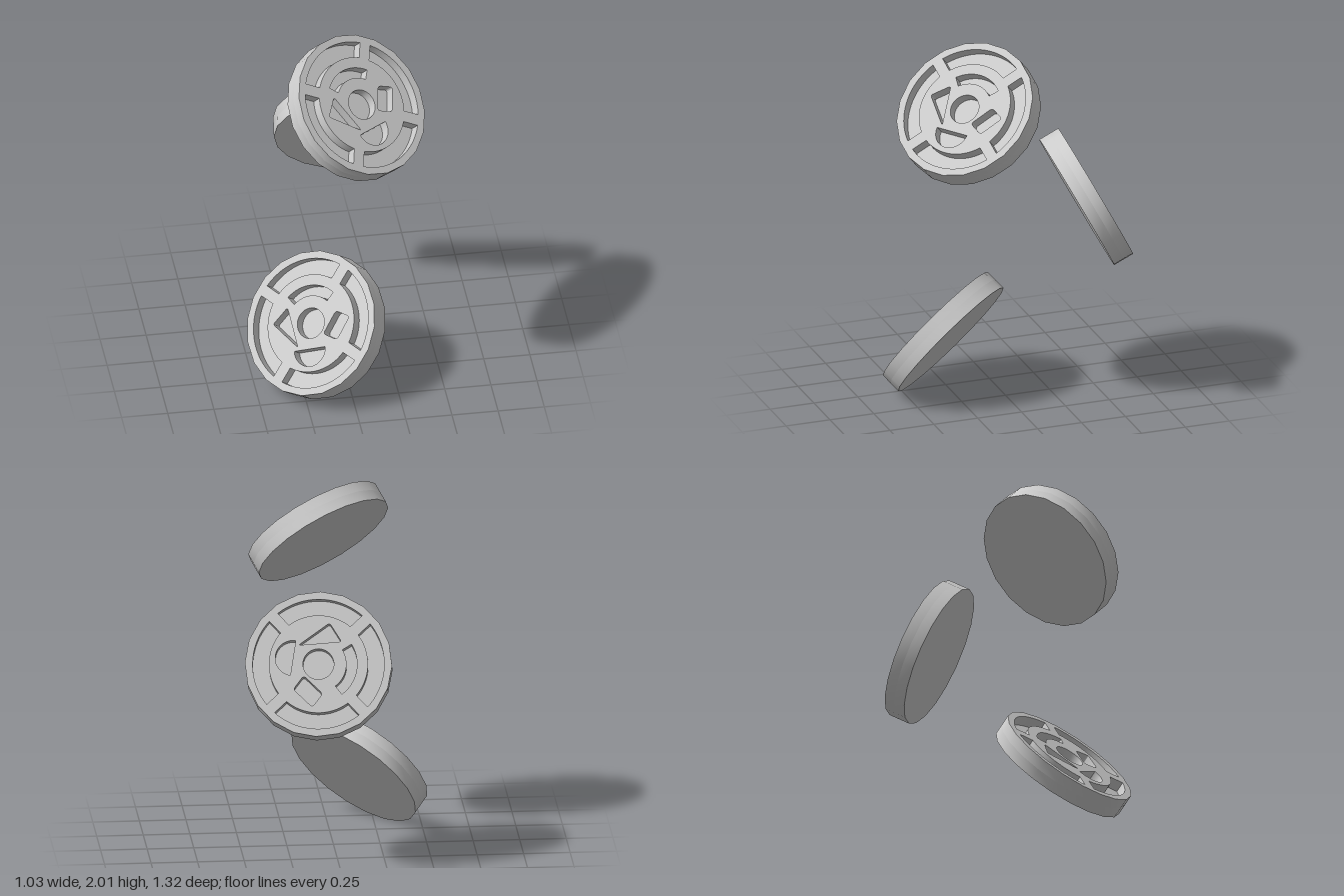
import * as THREE from 'three';
import { toCreasedNormals } from 'three/addons/utils/BufferGeometryUtils.js';

const RADIUS = 0.394, SIDES = 20, THICK = 0.118, DEPTH = 0.058;
const V2 = (x, y) => new THREE.Vector2(x, y);
const rad = THREE.MathUtils.degToRad;

// Outline shared by the solid base and the relief plate
function outline() {
  const pts = [];
  for (let i = 0; i < SIDES; i++) {
    const a = (i / SIDES) * Math.PI * 2;
    pts.push(V2(Math.cos(a) * RADIUS, Math.sin(a) * RADIUS));
  }
  return new THREE.Shape(pts);
}

// Ring section; inner and outer ends may have different angles
function ringSection(r0, r1, in0, in1, out0, out1) {
  const p = new THREE.Path();
  p.absarc(0, 0, r1, out0, out1, false);
  p.absarc(0, 0, r0, in1, in0, true);
  p.closePath();
  return p;
}

// Polygon with softened corners
function roundedPolygon(corners, r) {
  const p = new THREE.Path();
  const pts = corners.map(([x, y]) => V2(x, y));
  pts.forEach((c, i) => {
    const prev = pts[(i + pts.length - 1) % pts.length];
    const next = pts[(i + 1) % pts.length];
    const a = prev.clone().sub(c).setLength(r).add(c);
    const b = next.clone().sub(c).setLength(r).add(c);
    if (i === 0) p.moveTo(a.x, a.y); else p.lineTo(a.x, a.y);
    p.quadraticCurveTo(c.x, c.y, b.x, b.y);
  });
  p.closePath();
  return p;
}

function reliefShape() {
  const shape = outline();
  // Outer groove, split by four spokes of constant width
  const r0 = 0.265, r1 = 0.352, half = 0.031;
  const gi = Math.asin(half / r0), go = Math.asin(half / r1);
  for (let i = 0; i < 4; i++) {
    const a = rad(45 + 90 * i), b = a + Math.PI / 2;
    shape.holes.push(ringSection(r0, r1, a + gi, b - gi, a + go, b - go));
  }
  // Centre recess
  const centre = new THREE.Path();
  centre.absarc(0, 0, 0.083, 0, Math.PI * 2, false);
  shape.holes.push(centre);
  // Curved slot
  shape.holes.push(ringSection(0.15, 0.207, rad(39), rad(123), rad(39), rad(123)));
  // Triangle and rectangle recesses
  shape.holes.push(roundedPolygon([[-0.225, 0.053], [-0.1, -0.11], [-0.125, 0.12]], 0.015));
  shape.holes.push(roundedPolygon([[0.065, -0.077], [0.14, -0.13], [0.235, -0.025], [0.16, 0.027]], 0.02));
  // Half-round recess
  const bowl = new THREE.Path();
  bowl.absarc(-0.03, -0.137, 0.095, rad(173), rad(353), false);
  bowl.closePath();
  shape.holes.push(bowl);
  return shape;
}

function extrude(shape, depth, z) {
  const g = new THREE.ExtrudeGeometry(shape, { depth, bevelEnabled: false, curveSegments: 16 });
  g.translate(0, 0, z);
  return toCreasedNormals(g, 0.5);
}

export function createModel() {
  const material = new THREE.MeshStandardMaterial({ color: 0xcccccc });
  const baseGeo = extrude(outline(), THICK - DEPTH, -THICK / 2);
  const reliefGeo = extrude(reliefShape(), DEPTH, THICK / 2 - DEPTH);

  // Centre, facing direction, reference for the disc's x axis, and spin in degrees
  const discs = [
    { name: 'upperDisc', at: [0.062, 1.682, 0.232], face: [0.432, 0.704, 0.563], ref: [1, 0, -1], spin: 0 },
    { name: 'middleDisc', at: [0.114, 1.13, -0.418], face: [0.1, 0.47, -0.88], ref: [1, 0, 0], spin: 86 },
    { name: 'lowerDisc', at: [-0.164, 0.342, 0.295], face: [-0.58, 0.617, 0.532], ref: [1, 0, 0], spin: 2 },
  ];

  const model = new THREE.Group();
  model.name = 'tumblingDiscs';
  for (const d of discs) {
    const n = new THREE.Vector3(...d.face).normalize();
    const x = new THREE.Vector3(...d.ref).projectOnPlane(n).normalize();
    x.applyAxisAngle(n, rad(d.spin));
    const y = new THREE.Vector3().crossVectors(n, x);
    const disc = new THREE.Group();
    disc.name = d.name;
    disc.quaternion.setFromRotationMatrix(new THREE.Matrix4().makeBasis(x, y, n));
    disc.position.set(...d.at);
    const base = new THREE.Mesh(baseGeo, material);
    base.name = 'discBase';
    const relief = new THREE.Mesh(reliefGeo, material);
    relief.name = 'discRelief';
    disc.add(base, relief);
    model.add(disc);
  }
  return model;
}
